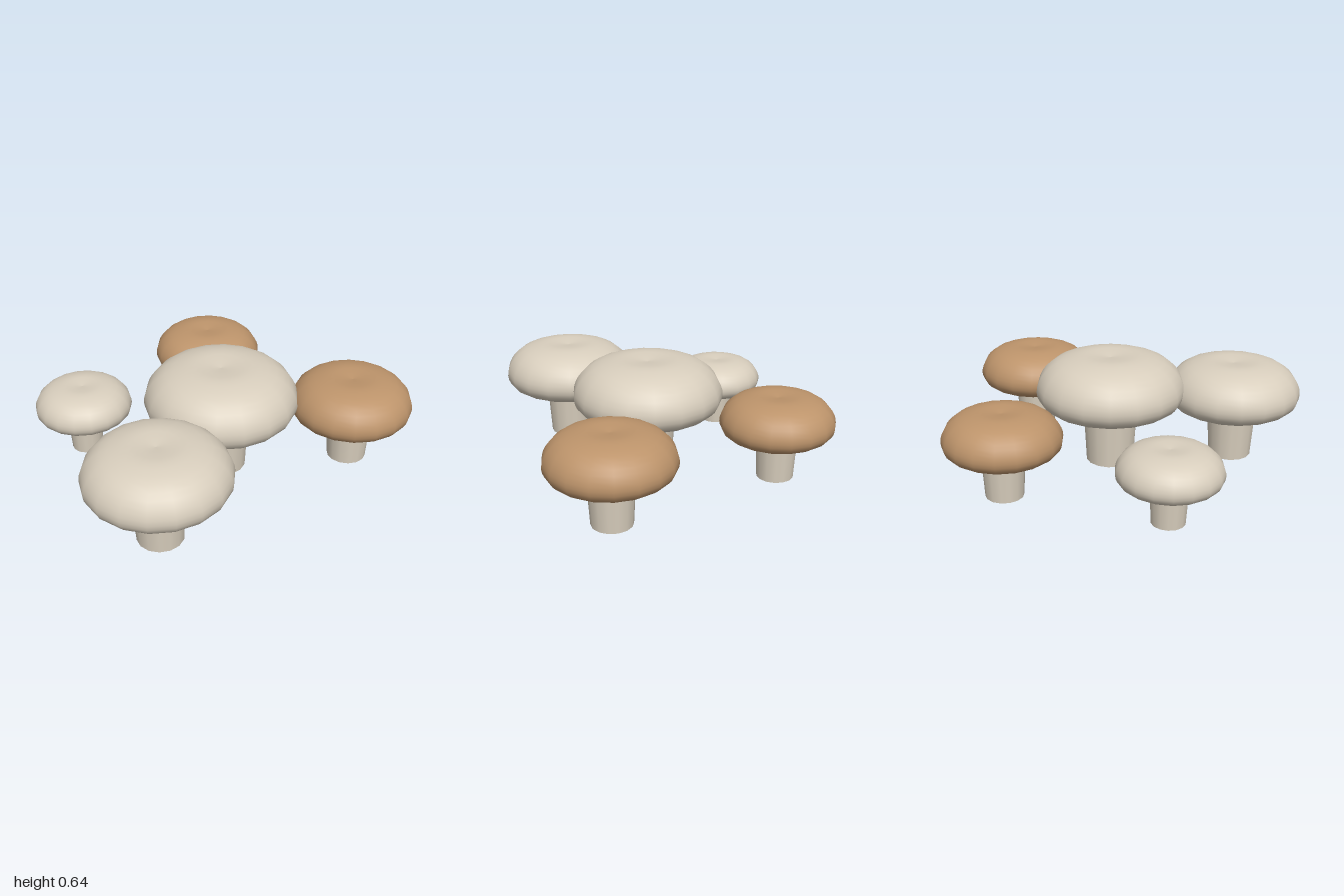
import * as THREE from 'three';

const cream = new THREE.MeshStandardMaterial({ name: 'cream', color: 0xd8cebd });
const tan = new THREE.MeshStandardMaterial({ name: 'tan', color: 0xbd946b });

// cap profile for a cap of radius 1, from the underside to the dimpled top
const capCurve = new THREE.SplineCurve([
  [0, 0.70], [0.36, 0.685], [0.62, 0.71], [0.84, 0.79], [0.96, 0.89], [1, 1.02],
  [0.97, 1.16], [0.88, 1.30], [0.72, 1.42], [0.5, 1.485], [0.3, 1.5], [0, 1.465],
].map(([x, y]) => new THREE.Vector2(x, y)));

function mushroom(name, x, z, radius, capMaterial) {
  const group = new THREE.Group();
  group.name = name;

  // rounded cap
  const profile = capCurve.getPoints(22);
  profile.forEach((p) => { p.x = Math.min(1, Math.max(0, p.x)); });
  const capGeometry = new THREE.LatheGeometry(profile, 18);
  capGeometry.rotateY(Math.PI / 2);
  const cap = new THREE.Mesh(capGeometry, capMaterial);
  cap.name = 'cap';

  // stem, slightly wider at the top and sunk into the cap
  const stemGeometry = new THREE.CylinderGeometry(0.368, 0.326, 0.76, 14);
  stemGeometry.translate(0, 0.38, 0);
  const stem = new THREE.Mesh(stemGeometry, cream);
  stem.name = 'stem';

  group.add(cap, stem);
  group.scale.setScalar(radius);
  group.position.set(x, 0, z);
  return group;
}

export function createModel() {
  const model = new THREE.Group();
  model.name = 'mushroomCluster';
  model.add(
    mushroom('centreMushroom', -0.045, 0.095, 0.427, cream),
    mushroom('frontRightMushroom', -0.615, 0.537, 0.385, cream),
    mushroom('frontLeftMushroom', 0.653, 0.347, 0.344, tan),
    mushroom('backLeftMushroom', 0.208, -0.605, 0.323, tan),
    mushroom('backRightMushroom', -0.682, -0.415, 0.277, cream),
  );
  return model;
}
